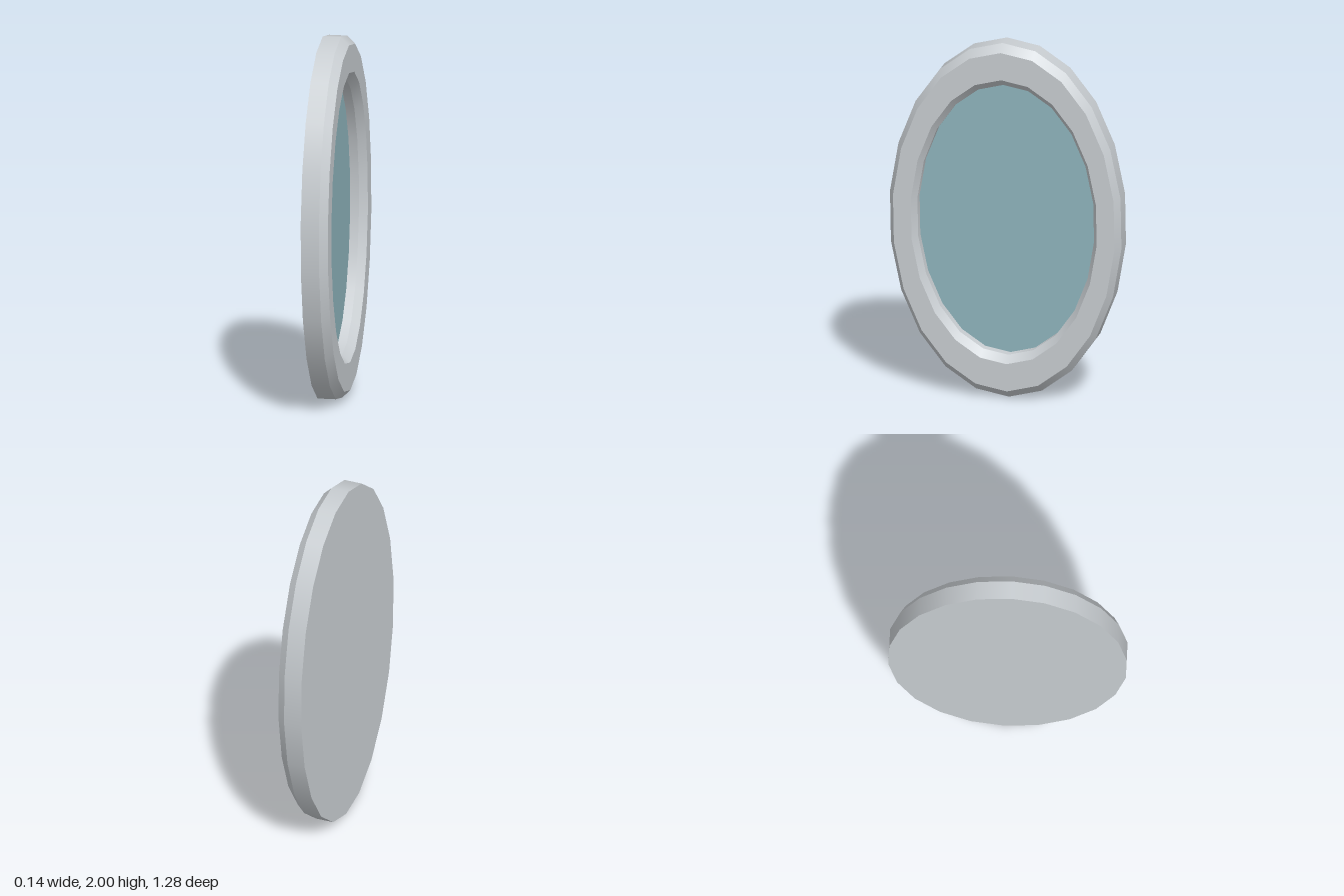
import * as THREE from 'three';
import { mergeGeometries } from 'three/addons/utils/BufferGeometryUtils.js';

const SIDES = 22;
const TWIST = 0.028; // slight turn of the polygon
const DEPTH = 0.646; // half width of the oval along z

// Each profile segment is its own oval band around the x axis, so its edges stay sharp.
function ovalBands(profile) {
  const bands = [];
  for (let i = 0; i < profile.length - 1; i++) {
    const points = [profile[i], profile[i + 1]].map(([r, x]) => new THREE.Vector2(r, x));
    bands.push(new THREE.LatheGeometry(points, SIDES, TWIST - Math.PI / 2));
  }
  const geometry = mergeGeometries(bands);
  geometry.rotateZ(-Math.PI / 2);
  geometry.scale(1, 1, DEPTH);
  geometry.translate(0, 1, 0);
  return geometry;
}

export function createModel() {
  const group = new THREE.Group();
  group.name = 'ovalMirror';

  const silver = new THREE.MeshStandardMaterial({ color: 0xc8cdd1 });
  silver.name = 'silver';
  const glassBlue = new THREE.MeshStandardMaterial({ color: 0x8fb5bd });
  glassBlue.name = 'glassBlue';

  // Frame: flat back, outer rim, outer bevel, face, inner bevel, inner wall
  const frame = new THREE.Mesh(ovalBands([
    [0, -0.072], [1, -0.072], [1, 0.028], [0.957, 0.072],
    [0.803, 0.072], [0.763, 0.028], [0.763, -0.02],
  ]), silver);
  frame.name = 'frame';

  // Recessed glass, facing +x
  const glass = new THREE.Mesh(ovalBands([[0.763, -0.02], [0, -0.02]]), glassBlue);
  glass.name = 'mirrorGlass';

  group.add(frame, glass);
  return group;
}
